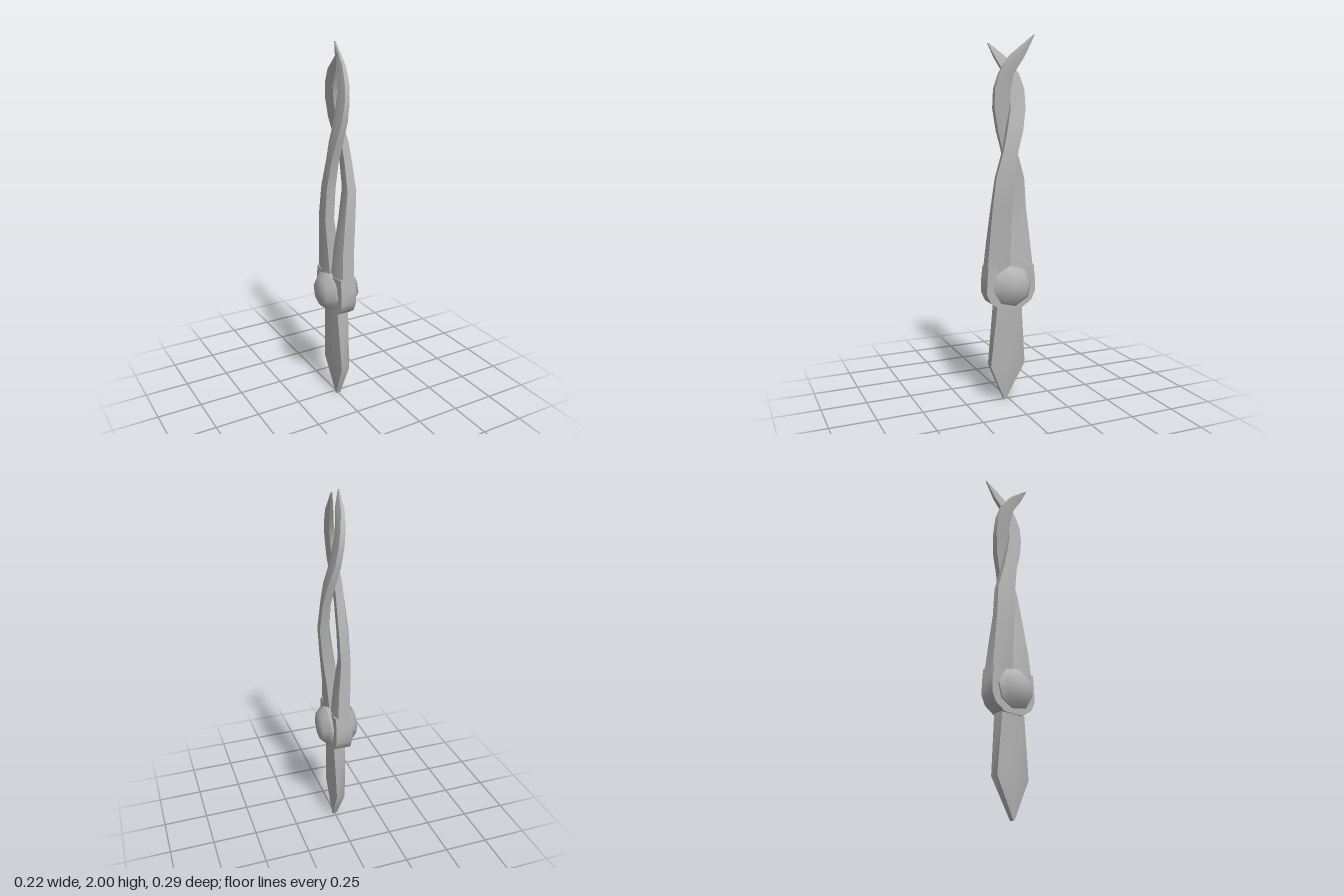
import * as THREE from 'three';
import { toCreasedNormals } from 'three/addons/utils/BufferGeometryUtils.js';

const metal = new THREE.MeshStandardMaterial({ color: 0xb4b4b4 });
metal.name = 'greyMetal';

// Closed loft through flat hexagons: [y, centre x, centre z, turn in degrees, half width, half thickness]
function hexLoft(stations, edge) {
  const pos = [], index = [], n = 6;
  for (const [y, cx, cz, deg, r, t] of stations) {
    const s = Math.sin(deg * Math.PI / 180), c = Math.cos(deg * Math.PI / 180), e = t * edge;
    for (const [u, v] of [[r, -e], [r, e], [0, t], [-r, e], [-r, -e], [0, -t]]) {
      pos.push(cx + u * s + v * c, y, cz + u * c - v * s);
    }
  }
  for (let j = 0; j < stations.length - 1; j++) {
    for (let i = 0; i < n; i++) {
      const a = j * n + i, b = j * n + (i + 1) % n;
      index.push(a, b, b + n, a, b + n, a + n);
    }
  }
  const top = (stations.length - 1) * n;
  for (let i = 1; i < n - 1; i++) index.push(0, i + 1, i, top, top + i, top + i + 1);
  const g = new THREE.BufferGeometry();
  g.setAttribute('position', new THREE.Float32BufferAttribute(pos, 3));
  g.setIndex(index);
  return g;
}

export function createModel() {
  const model = new THREE.Group();
  model.name = 'twistedProngBlade';
  const add = (name, geometry, crease = 0.6) => {
    const mesh = new THREE.Mesh(toCreasedNormals(geometry, crease), metal);
    mesh.name = name;
    model.add(mesh);
    return mesh;
  };

  // Pointed lower blade
  add('lowerBlade', hexLoft([
    [0, 0, 0.025, 0, 0.004, 0.015],
    [0.205, 0, 0.011, 0, 0.102, 0.028],
    [0.6, 0, 0.005, 0, 0.068, 0.042],
  ], 0.85));

  // Rounded plate around the pivot
  const half = [[0.06, 0.53], [0.12, 0.57], [0.143, 0.62], [0.142, 0.7], [0.134, 0.77]];
  const outline = [
    ...half, [0, 0.75],
    ...half.map(([z, y]) => [-z, y]).reverse(),
  ].map(([z, y]) => new THREE.Vector2(z, y));
  const plate = new THREE.ExtrudeGeometry(new THREE.Shape(outline), { depth: 0.09, bevelEnabled: false });
  plate.translate(0, 0, -0.045);
  plate.rotateY(Math.PI / 2);
  add('pivotPlate', plate);

  // Eight-sided pivot bolt with a domed cap on each side
  const profile = [[0, -0.112], [0.08, -0.1], [0.115, -0.062], [0.106, -0.05],
    [0.106, 0.05], [0.115, 0.062], [0.08, 0.1], [0, 0.112]];
  const bolt = new THREE.LatheGeometry(profile.map(([r, y]) => new THREE.Vector2(r, y)), 8);
  bolt.rotateZ(-Math.PI / 2);
  bolt.rotateX(0.15);
  bolt.translate(0, 0.662, 0);
  add('pivotBolt', bolt, 0.85);

  // Two wide, thin prongs that swap sides twice: the front one bows to the left more than the back one
  add('frontProng', hexLoft([
    [0.72, 0, 0.07, 0, 0.069, 0.045],
    [0.9, 0.012, 0.063, -4, 0.06, 0.044],
    [1.08, 0.035, 0.056, -10, 0.054, 0.038],
    [1.25, 0.055, 0.044, -12, 0.05, 0.032],
    [1.4, 0.053, 0.01, -10, 0.04, 0.028],
    [1.5, 0.043, -0.016, -5, 0.044, 0.027],
    [1.62, 0.018, -0.043, 0, 0.044, 0.022],
    [1.72, 0, -0.043, 0, 0.045, 0.02],
    [1.8, -0.015, -0.025, 0, 0.041, 0.018],
    [1.88, -0.03, 0.027, 4, 0.038, 0.013],
    [1.96, -0.048, 0.095, 8, 0.004, 0.004],
  ], 0.75));
  add('backProng', hexLoft([
    [0.72, 0, -0.07, 0, 0.069, 0.045],
    [0.9, -0.012, -0.063, -4, 0.06, 0.042],
    [1.08, -0.028, -0.056, -10, 0.054, 0.034],
    [1.25, -0.022, -0.044, -12, 0.052, 0.032],
    [1.4, -0.016, -0.01, -10, 0.04, 0.028],
    [1.5, -0.01, 0.016, -5, 0.044, 0.027],
    [1.62, 0.004, 0.043, 0, 0.044, 0.022],
    [1.72, 0.016, 0.043, 0, 0.045, 0.019],
    [1.8, 0.028, 0.025, 0, 0.041, 0.017],
    [1.89, 0.044, -0.03, -4, 0.042, 0.013],
    [2, 0.062, -0.12, -8, 0.004, 0.004],
  ], 0.75));

  return model;
}
